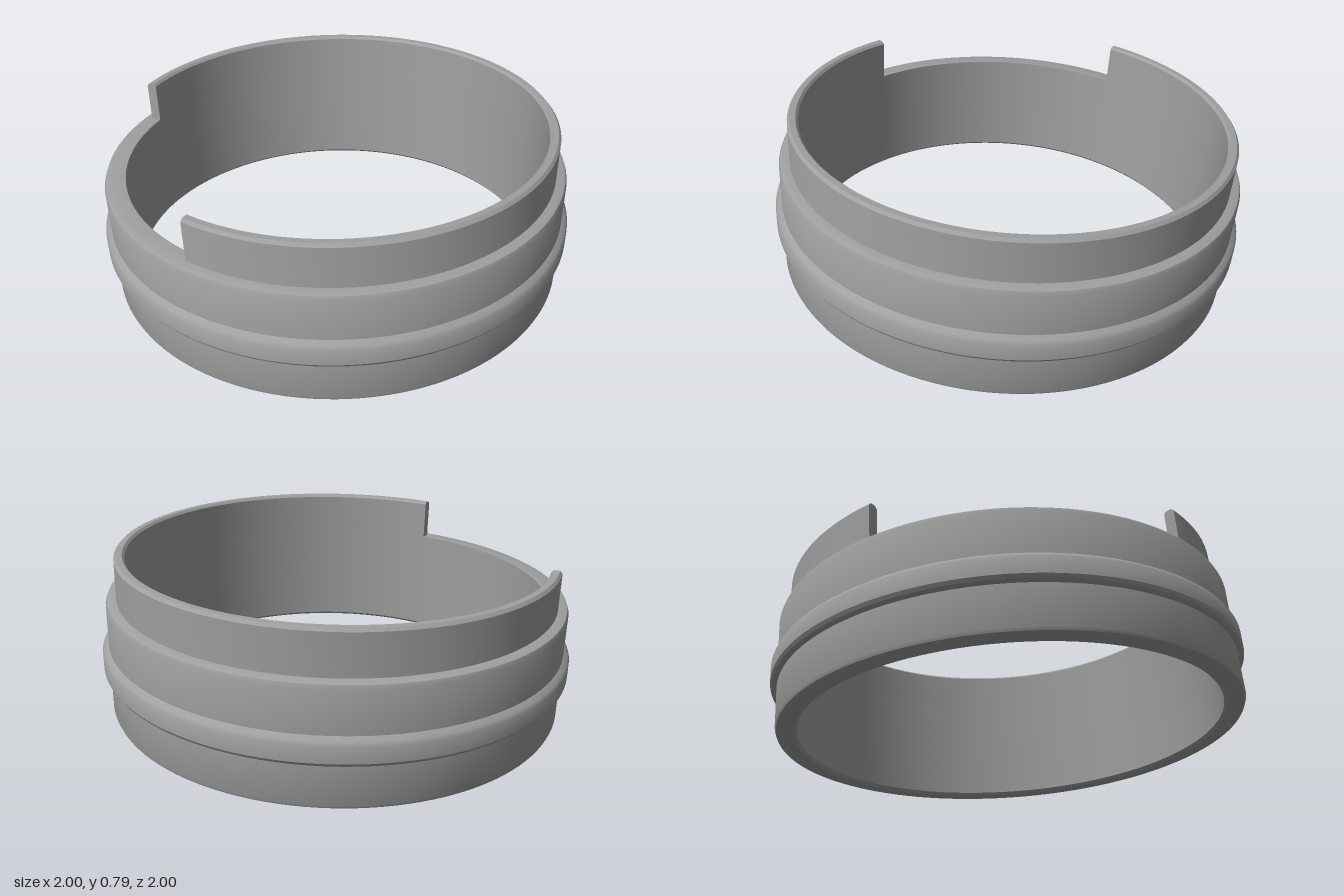
import * as THREE from 'three';
import { toCreasedNormals } from 'three/addons/utils/BufferGeometryUtils.js';

const deg = Math.PI / 180;
const INNER = 0.885, SHOULDER = 0.487, TOP = 0.665;

// Closed [radius, height] outlines, running up the outside and down the inside
const bodyProfile = [
  [INNER, 0.012], [0.897, 0], [0.955, 0], [0.967, 0.005], [0.972, 0.017],
  [0.972, 0.18], [0.99, 0.187], [0.998, 0.2], [0.998, 0.265], [0.99, 0.28], [0.972, 0.294],
  [0.972, 0.466], [0.966, 0.481], [0.952, SHOULDER], [INNER, SHOULDER], [INNER, 0.012],
];
const rimProfile = [
  [0.929, SHOULDER], [0.929, TOP - 0.012], [0.919, TOP],
  [0.895, TOP], [INNER, TOP - 0.01], [INNER, SHOULDER],
];
const points = (list) => list.map(([r, y]) => new THREE.Vector2(r, y));

export function createModel() {
  const grey = new THREE.MeshStandardMaterial({ color: 0xa0a0a0, side: THREE.DoubleSide });
  grey.name = 'plain grey';

  const ring = new THREE.Group();
  ring.name = 'tiltedRing';
  const add = (geometry, name) => {
    const mesh = new THREE.Mesh(geometry, grey);
    mesh.name = name;
    ring.add(mesh);
    return mesh;
  };
  const sweep = (profile, segments, start, length) =>
    toCreasedNormals(new THREE.LatheGeometry(points(profile), segments, start, length), 30 * deg);

  // Main body with its raised outer band
  add(sweep(bodyProfile, 128, 0, 2 * Math.PI), 'body');

  // Raised inner rim, left open on the right side
  const start = -49 * deg, end = 233 * deg;
  add(sweep(rimProfile, 100, start, end - start), 'rim');

  // Flat ends of the rim
  for (const [angle, name] of [[start, 'rimFrontEnd'], [end, 'rimBackEnd']]) {
    const cap = new THREE.ShapeGeometry(new THREE.Shape(points(rimProfile)));
    // turn the far end to face out of the rim
    if (angle === end) {
      const index = cap.index.array;
      for (let i = 0; i < index.length; i += 3) [index[i], index[i + 1]] = [index[i + 1], index[i]];
      cap.computeVertexNormals();
    }
    add(cap, name).rotation.y = angle - Math.PI / 2;
  }

  // The whole ring leans back
  ring.rotation.x = -0.07;
  ring.position.set(0, 0.068, 0.023);

  const model = new THREE.Group();
  model.name = 'steppedRing';
  model.add(ring);
  return model;
}
